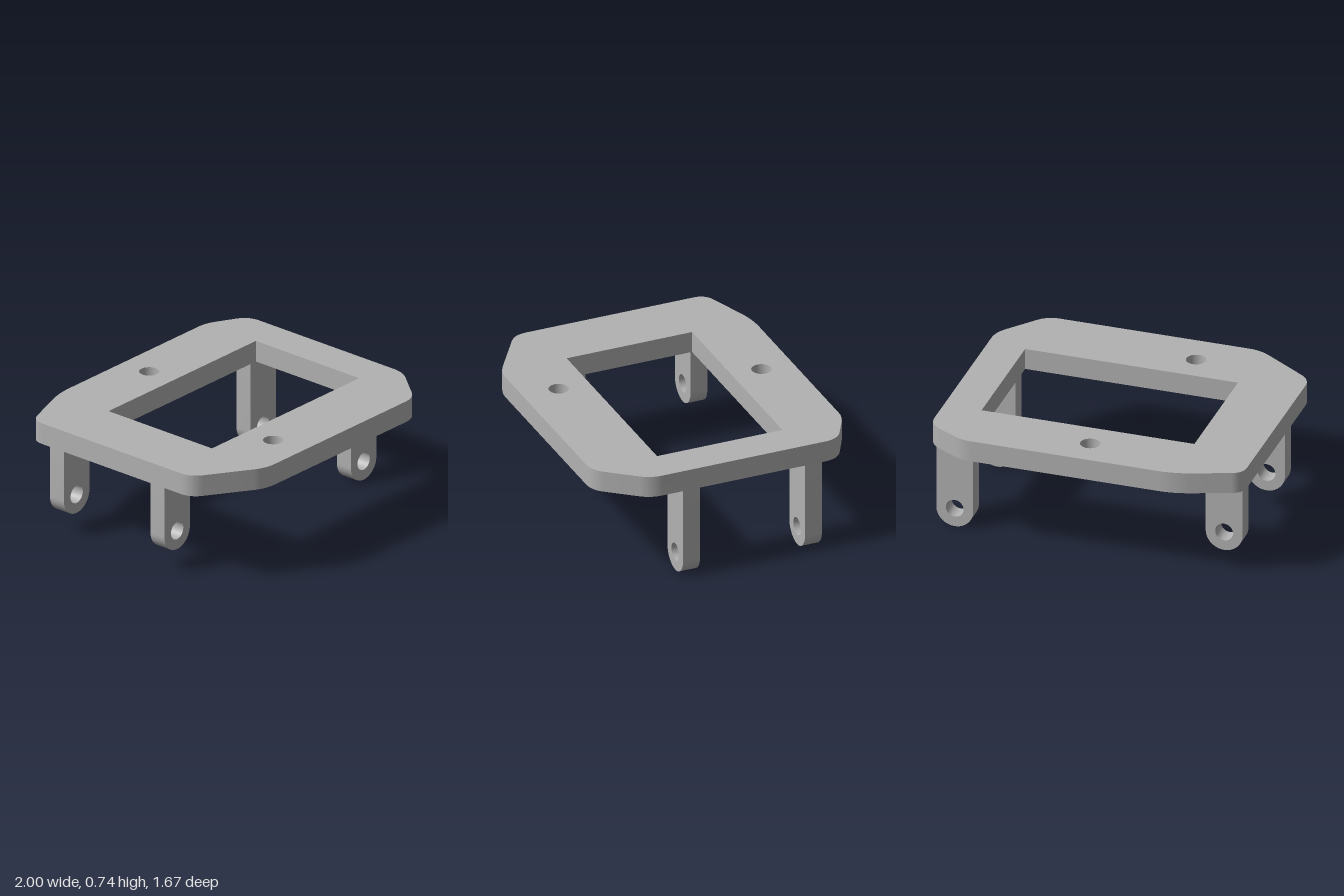
import * as THREE from 'three';
import { toCreasedNormals } from 'three/addons/utils/BufferGeometryUtils.js';

const PLATE_BOTTOM = 0.6, PLATE_THICKNESS = 0.137;

// Closed shape from corners [x, y, trim], each corner rounded over its trim length
function roundedPolygon(corners) {
  const shape = new THREE.Shape();
  const pts = corners.map(([x, y]) => new THREE.Vector2(x, y));
  const n = pts.length;
  const toward = (a, b, d) => b.clone().sub(a).setLength(d).add(a);
  pts.forEach((p, i) => {
    const trim = corners[i][2];
    const start = toward(p, pts[(i + n - 1) % n], trim);
    const end = toward(p, pts[(i + 1) % n], trim);
    if (i === 0) shape.moveTo(start.x, start.y);
    else shape.lineTo(start.x, start.y);
    shape.quadraticCurveTo(p.x, p.y, end.x, end.y);
  });
  shape.closePath();
  return shape;
}

function roundHole(x, y, r) {
  return new THREE.Path().absarc(x, y, r, 0, Math.PI * 2, true);
}

function extrude(shape, depth) {
  const geo = new THREE.ExtrudeGeometry(shape, { depth, bevelEnabled: false, curveSegments: 16 });
  return toCreasedNormals(geo, 0.6);
}

// Frame plate, drawn in (x, -z) and laid flat
function plateGeometry() {
  const shape = roundedPolygon([
    [-0.60, -0.832, 0.08], [0.763, -0.832, 0.08], [1, -0.54, 0.075], [1, 0.70, 0.085],
    [0.754, 0.835, 0.06], [-0.60, 0.835, 0.1], [-1, 0.696, 0.075], [-1, -0.568, 0.08],
  ]);
  // Rectangular window and two screw holes
  const window = new THREE.Path();
  window.moveTo(-0.6, -0.395);
  window.lineTo(-0.6, 0.435);
  window.lineTo(0.76, 0.435);
  window.lineTo(0.76, -0.395);
  window.closePath();
  shape.holes.push(window, roundHole(0, 0.63, 0.062), roundHole(-0.265, -0.595, 0.062));
  return extrude(shape, PLATE_THICKNESS).rotateX(-Math.PI / 2).translate(0, PLATE_BOTTOM, 0);
}

// Hanging lug with a rounded end and a pin hole
function lugGeometry(x, bottom) {
  const r = 0.118, y = bottom + r;
  const shape = new THREE.Shape();
  shape.moveTo(x + r, PLATE_BOTTOM);
  shape.lineTo(x - r, PLATE_BOTTOM);
  shape.lineTo(x - r, y);
  shape.absarc(x, y, r, Math.PI, Math.PI * 2, false);
  shape.closePath();
  shape.holes.push(roundHole(x, bottom + 0.123, 0.057));
  return extrude(shape, 0.112);
}

export function createModel() {
  const model = new THREE.Group();
  model.name = 'mountingBracket';
  const grey = new THREE.MeshStandardMaterial({ color: 0xb2b2b2 });
  grey.name = 'grey';

  const add = (geometry, name, z = 0) => {
    const mesh = new THREE.Mesh(geometry, grey);
    mesh.name = name;
    mesh.position.z = z;
    model.add(mesh);
  };

  add(plateGeometry(), 'framePlate');

  // Short lugs on one side, long lugs on the other
  const shortLug = lugGeometry(-0.843, 0.13);
  const longLug = lugGeometry(0.879, 0);
  for (const [place, z] of [['front', 0.215], ['back', -0.592]]) {
    add(shortLug, place + 'ShortLug', z);
    add(longLug, place + 'LongLug', z);
  }
  return model;
}
